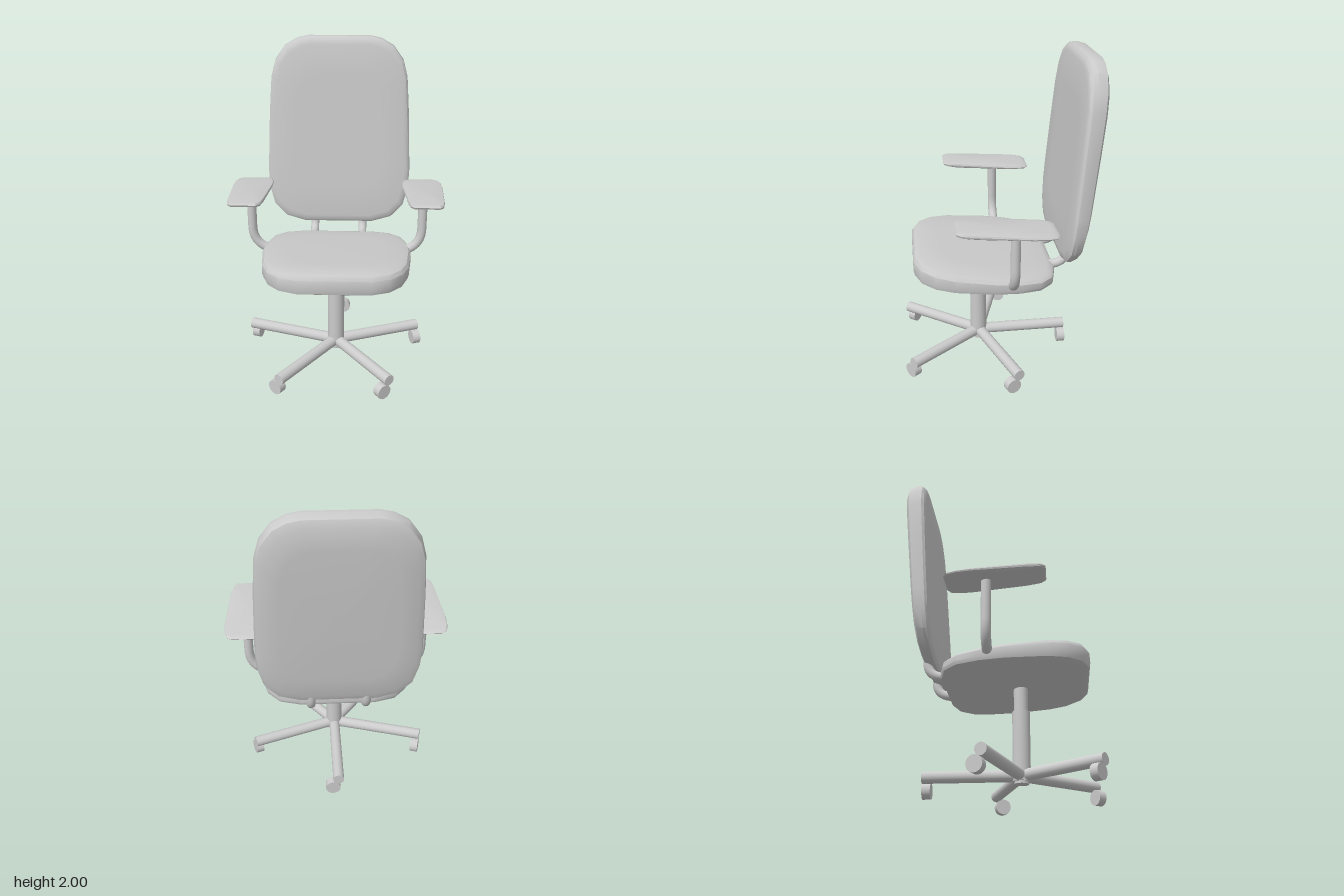
import * as THREE from 'three';
import { toCreasedNormals } from 'three/addons/utils/BufferGeometryUtils.js';

const material = new THREE.MeshStandardMaterial({ color: 0xcccccc });
const V = (x, y, z) => new THREE.Vector3(x, y, z);

function mesh(name, geometry) {
  const m = new THREE.Mesh(geometry, material);
  m.name = name;
  return m;
}

// Cushion: a mirrored half outline, stacked in layers of [scale, height 0..1];
// place(u, v, h) puts each outline point in space.
function pad(name, half, layers, place) {
  const outline = [...half, ...half.map(([u, v]) => [-u, v]).reverse()];
  const n = outline.length;
  const mid = (half[0][1] + half[half.length - 1][1]) / 2;
  const pos = [], index = [];
  for (const [s, h] of layers)
    for (const [u, v] of outline) pos.push(...place(u * s, mid + (v - mid) * s, h));
  for (let k = 0; k < layers.length - 1; k++)
    for (let i = 0; i < n; i++) {
      const j = (i + 1) % n;
      const a = k * n + i, b = k * n + j, c = a + n, d = b + n;
      if (layers[k][0] > 0) index.push(a, b, d);
      if (layers[k + 1][0] > 0) index.push(a, d, c);
      else if (layers[k][0] > 0) index.push();
    }
  const g = new THREE.BufferGeometry();
  g.setAttribute('position', new THREE.Float32BufferAttribute(pos, 3));
  g.setIndex(index);
  return mesh(name, toCreasedNormals(g, 0.55));
}

// Capped round bar between two points
function bar(name, from, to, radius, sides = 20) {
  const dir = to.clone().sub(from);
  const m = mesh(name, new THREE.CylinderGeometry(radius, radius, dir.length(), sides));
  m.position.copy(from).add(to).multiplyScalar(0.5);
  m.quaternion.setFromUnitVectors(V(0, 1, 0), dir.normalize());
  return m;
}

// Bent pipe: straight, quarter bend, straight
function pipe(name, a, b, corner, c, d, radius) {
  const path = new THREE.CurvePath();
  path.add(new THREE.LineCurve3(a, b));
  path.add(new THREE.QuadraticBezierCurve3(b, corner, c));
  path.add(new THREE.LineCurve3(c, d));
  return mesh(name, new THREE.TubeGeometry(path, 28, radius, 14));
}

export function createModel() {
  const chair = new THREE.Group();
  chair.name = 'officeChair';

  // Seat, thicker and higher at the front
  chair.add(pad('seat',
    [[0.22, 0.527], [0.33, 0.485], [0.405, 0.405], [0.448, 0.29], [0.475, 0.05],
      [0.468, -0.1], [0.435, -0.23], [0.36, -0.31], [0.23, -0.345]],
    [[0, 0], [0.65, 0], [0.92, 0.03], [0.985, 0.14], [1, 0.35], [0.995, 0.75],
      [0.965, 0.92], [0.9, 1], [0.6, 1.03], [0, 1.03]],
    (u, v, h) => [u, THREE.MathUtils.lerp(0.645 + 0.045 * v, 0.75 + 0.125 * v, h), v]));

  // Backrest, leaning back and thicker at the top
  chair.add(pad('backrest',
    [[0.23, 0.752], [0.36, 0.79], [0.44, 0.875], [0.473, 1.0], [0.478, 1.12], [0.462, 1.5],
      [0.445, 1.74], [0.415, 1.85], [0.35, 1.94], [0.27, 1.985], [0.2, 2.0]],
    [[0, 0], [0.7, 0], [0.91, 0.06], [0.975, 0.2], [1, 0.6], [0.995, 0.82],
      [0.97, 0.94], [0.92, 1], [0.6, 1], [0, 1]],
    (u, v, h) => [u, v, THREE.MathUtils.lerp(-0.475 - 0.112 * (v - 0.8), -0.375 - 0.08 * (v - 0.8), h)]));

  // Armrests with their bent supports
  for (const s of [1, -1]) {
    const side = s > 0 ? 'left' : 'right';
    chair.add(pad(side + 'Armrest',
      [[0.075, 0.29], [0.097, 0.265], [0.108, 0.2], [0.12, 0.0], [0.127, -0.13],
        [0.124, -0.21], [0.11, -0.265], [0.08, -0.285]],
      [[0, 0], [0.85, 0], [0.98, 0.3], [1, 0.6], [0.97, 0.9], [0.88, 1], [0, 1]],
      (u, v, h) => [0.542 * s + u, THREE.MathUtils.lerp(1.106 + 0.06 * v, 1.135 + 0.088 * v, h), v]));
    chair.add(pipe(side + 'ArmSupport', V(0.545 * s, 1.12, -0.05), V(0.545 * s, 0.86, -0.05),
      V(0.545 * s, 0.74, -0.05), V(0.44 * s, 0.705, -0.05), V(0.38 * s, 0.695, -0.05), 0.029));
    // Bent pipe joining seat and backrest
    chair.add(pipe(side + 'BackSupport', V(0.165 * s, 0.68, -0.25), V(0.165 * s, 0.68, -0.35),
      V(0.165 * s, 0.69, -0.43), V(0.165 * s, 0.77, -0.435), V(0.165 * s, 0.85, -0.44), 0.028));
  }

  // Gas lift column
  const hubZ = 0.11;
  chair.add(bar('columnSleeve', V(0, 0.085, hubZ), V(0, 0.505, hubZ), 0.053, 24));
  chair.add(bar('columnPiston', V(0, 0.07, hubZ), V(0, 0.67, hubZ), 0.043, 24));

  // Five legs, each with a caster beside its tip
  const tips = [[0, -0.47], [0.543, -0.085], [0.338, 0.555], [-0.333, 0.572], [-0.58, -0.065]];
  for (const [x, z] of tips) {
    const tip = V(x, 0.12, z);
    const d = V(x, 0, z - hubZ).normalize();
    chair.add(bar('leg', V(0, 0.12, hubZ), tip, 0.035));
    const outer = V(x - d.z * 0.035, 0.048, z + d.x * 0.035);
    chair.add(bar('caster', outer.clone().addScaledVector(d, -0.05), outer, 0.047));
  }
  return chair;
}
